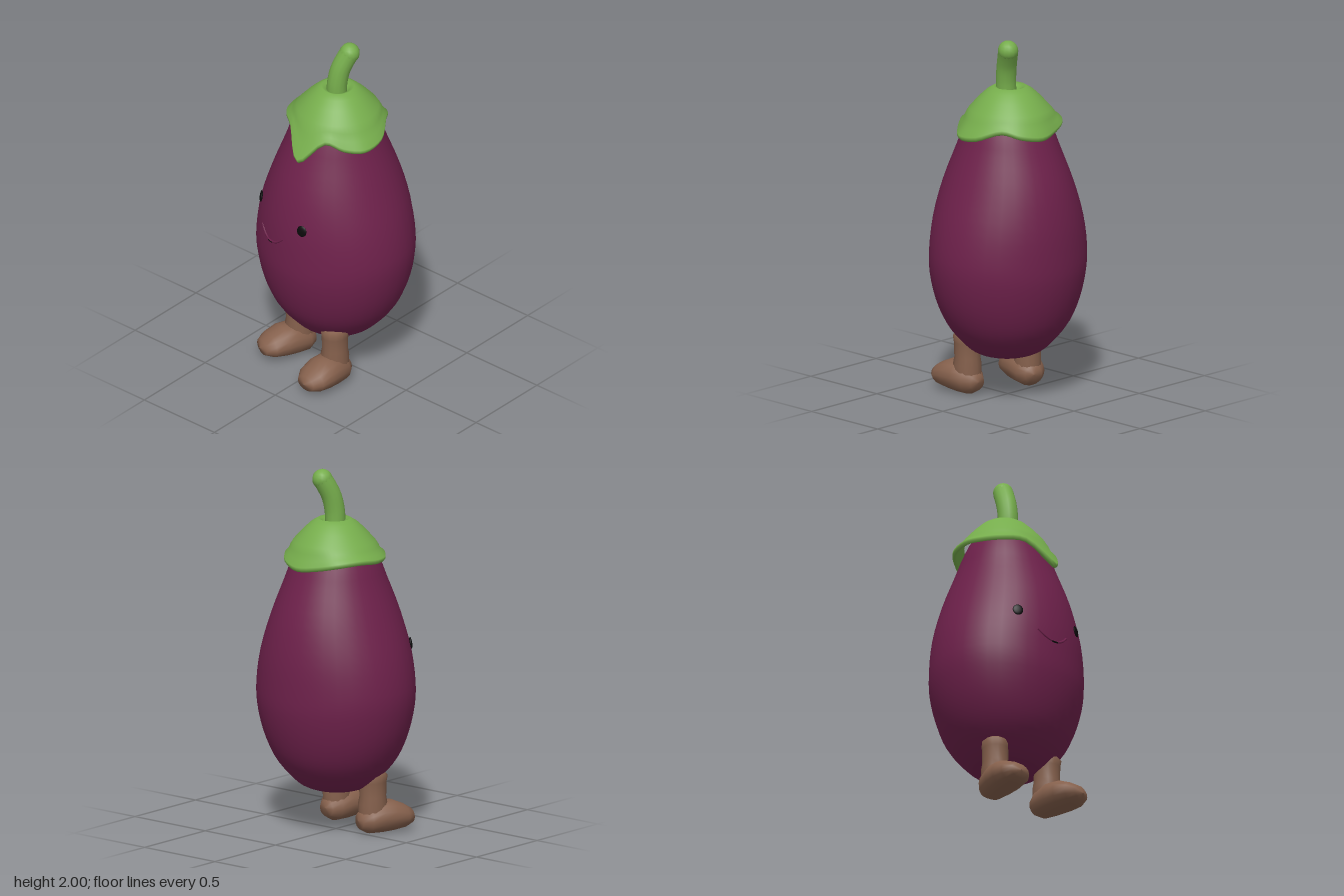
import * as THREE from 'three';

const mat = (name, color) => {
  const m = new THREE.MeshStandardMaterial({ color });
  m.name = name;
  return m;
};

// Skin a list of closed rings (equal point counts) into one smooth surface
function loft(rings) {
  const n = rings[0].length, pos = [], index = [];
  rings.forEach(r => r.forEach(p => pos.push(p.x, p.y, p.z)));
  for (let i = 0; i < rings.length - 1; i++) {
    for (let j = 0; j < n; j++) {
      const a = i * n + j, b = i * n + (j + 1) % n;
      index.push(a, b, a + n, b, b + n, a + n);
    }
  }
  const g = new THREE.BufferGeometry();
  g.setAttribute('position', new THREE.Float32BufferAttribute(pos, 3));
  g.setIndex(index);
  g.computeVertexNormals();
  return g;
}

// Horizontal ellipse, starting at the front (+z)
const ring = (y, rx, rz, n, cx = 0, cz = 0) => Array.from({ length: n }, (_, j) => {
  const a = j / n * Math.PI * 2;
  return new THREE.Vector3(cx + Math.sin(a) * rx, y, cz + Math.cos(a) * rz);
});

// Body profile: height, half width, half depth
const BODY = new THREE.CatmullRomCurve3([
  [0.22, 0.002, 0.002], [0.228, 0.1, 0.095], [0.26, 0.195, 0.185], [0.32, 0.265, 0.25],
  [0.42, 0.345, 0.325], [0.55, 0.405, 0.375], [0.7, 0.44, 0.405], [0.82, 0.445, 0.408],
  [1.0, 0.415, 0.397], [1.2, 0.35, 0.355], [1.4, 0.275, 0.28], [1.5, 0.24, 0.24],
  [1.6, 0.19, 0.19], [1.68, 0.1, 0.1], [1.7, 0.002, 0.002],
].map(([y, rx, rz]) => new THREE.Vector3(rx, y, rz)));

// Point and outward direction on the front of the body around face height
function onBody(x, y) {
  const t = (y - 0.82) / 0.18;
  const rx = 0.445 - 0.03 * t, rz = 0.408 - 0.011 * t;
  const z = rz * Math.sqrt(1 - (x / rx) ** 2);
  return {
    point: new THREE.Vector3(x, y, z),
    normal: new THREE.Vector3(x / rx ** 2, 0.35, z / rz ** 2).normalize(),
  };
}

export function createModel() {
  const group = new THREE.Group();
  const purple = mat('purple skin', 0x6e214b);
  const green = mat('leaf green', 0x76ad4c);
  const brown = mat('brown felt', 0x85604c);
  const black = mat('eye black', 0x0b0a0b);
  const add = (name, geometry, material, parent = group) => {
    const m = new THREE.Mesh(geometry, material);
    m.name = name;
    parent.add(m);
    return m;
  };

  // Body
  add('body', loft(BODY.getPoints(42).map(p => ring(p.y, Math.max(p.x, 0), Math.max(p.z, 0), 36))), purple);

  // Leaf cap: wavy hem blended into a rounded shoulder with a dimple at the stem
  const hem = new THREE.CatmullRomCurve3([
    [0, 1.4, 0.32], [0.12, 1.52, 0.23], [0.21, 1.485, 0.175], [0.285, 1.47, 0.09],
    [0.29, 1.485, -0.04], [0.215, 1.53, -0.165], [0.15, 1.505, -0.25], [0.03, 1.485, -0.295],
    [-0.1, 1.5, -0.265], [-0.2, 1.52, -0.215], [-0.27, 1.53, -0.1], [-0.285, 1.52, 0.02],
    [-0.25, 1.52, 0.12], [-0.14, 1.525, 0.215],
  ].map(p => new THREE.Vector3(...p)), true).getPoints(56).slice(0, 56);
  const scaled = (s, dy) => hem.map(p => new THREE.Vector3(p.x * s, p.y + dy, p.z * s));
  const dome = (y, r) => hem.map(p => {
    const a = Math.atan2(p.x, p.z);
    return new THREE.Vector3(Math.sin(a) * r, y, Math.cos(a) * r - 0.015);
  });
  const shoulder = dome(1.61, 0.222);
  const blend = (t, out) => hem.map((p, i) => {
    const q = p.clone().lerp(shoulder[i], t);
    q.x *= out;
    q.z *= out;
    return q;
  });
  add('leafCap', loft([
    scaled(0.78, 0.05), scaled(0.92, 0), scaled(0.97, -0.008), scaled(1, 0.004), scaled(1, 0.018),
    blend(0.4, 1), blend(0.7, 1.01), shoulder, dome(1.67, 0.168), dome(1.71, 0.125),
    dome(1.732, 0.088), dome(1.722, 0.065), dome(1.7, 0.045), dome(1.69, 0.001),
  ]), green);

  // Stem: bent tube with a rounded tip
  const stemPath = new THREE.CatmullRomCurve3([
    [0.008, 1.68, 0.005], [0.012, 1.77, 0.003], [0.022, 1.85, -0.012], [0.042, 1.92, -0.04], [0.052, 1.945, -0.052],
  ].map(p => new THREE.Vector3(...p)));
  add('stem', new THREE.TubeGeometry(stemPath, 12, 0.055, 14), green);
  add('stemTip', new THREE.SphereGeometry(0.0555, 14, 10), green).position.set(0.052, 1.945, -0.052);

  // Eyes: flattened beads lying on the skin
  for (const [name, x, y] of [['leftEye', 0.09, 1.03], ['rightEye', -0.305, 1.035]]) {
    const { point, normal } = onBody(x, y);
    const eye = add(name, new THREE.SphereGeometry(1, 16, 10), black);
    eye.scale.set(0.029, 0.032, 0.008);
    eye.position.copy(point);
    eye.lookAt(point.clone().add(normal));
  }

  // Smile: raised seam curving over the skin
  const smile = [];
  for (let i = 0; i <= 10; i++) {
    const u = i / 5 - 1;
    smile.push(onBody(-0.13 + 0.095 * u, 0.883 + 0.05 * u * u).point);
  }
  add('smile', new THREE.TubeGeometry(new THREE.CatmullRomCurve3(smile), 20, 0.007, 6), purple);
  add('smileCrease', new THREE.TubeGeometry(
    new THREE.CatmullRomCurve3(smile.slice(4, 7).map(p => p.clone().add(new THREE.Vector3(0, -0.002, 0.003)))),
    6, 0.005, 6), black);

  // Legs and feet
  const footRings = [
    [-0.09, 0.08, 0.001, 0.001], [-0.08, 0.077, 0.05, 0.045], [-0.035, 0.082, 0.085, 0.076],
    [0.04, 0.095, 0.1, 0.09], [0.11, 0.095, 0.105, 0.085], [0.18, 0.085, 0.093, 0.065],
    [0.225, 0.08, 0.06, 0.042], [0.24, 0.08, 0.001, 0.001],
  ].map(([z, cy, w, h]) => Array.from({ length: 16 }, (_, j) => {
    const a = j / 16 * Math.PI * 2;
    return new THREE.Vector3(Math.cos(a) * w, cy + Math.sin(a) * h, z);
  }));
  const legRings = [[0.07, 0.072], [0.17, 0.075], [0.21, 0.068], [0.29, 0.07], [0.325, 0.076], [0.345, 0.06], [0.35, 0.001]]
    .map(([y, r]) => ring(y, r, r * 1.08, 14));
  for (const [side, x, z, turn] of [['left', 0.14, 0.17, -0.06], ['right', -0.21, 0.06, -0.38]]) {
    const limb = new THREE.Group();
    limb.name = side + 'Limb';
    limb.position.set(x, 0, z);
    limb.rotation.y = turn;
    add(side + 'Leg', loft(legRings), brown, limb);
    add(side + 'Foot', loft(footRings), brown, limb);
    group.add(limb);
  }
  return group;
}
